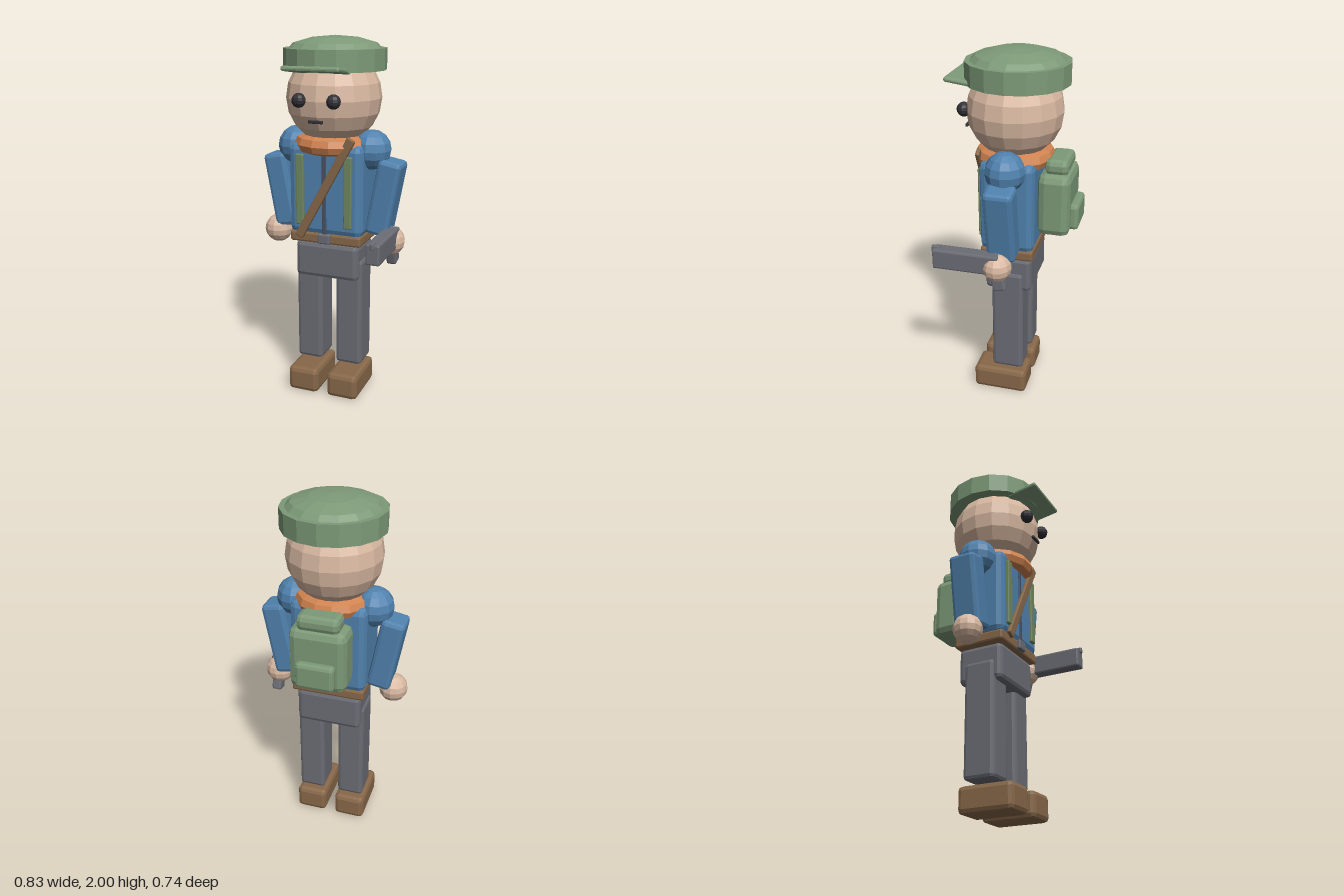
import * as THREE from 'three';
import { RoundedBoxGeometry } from 'three/addons/geometries/RoundedBoxGeometry.js';

function material(name, color) {
  const m = new THREE.MeshStandardMaterial({ color, flatShading: true });
  m.name = name;
  return m;
}

export function createModel() {
  const green = material('canvasGreen', 0x7d9a78);
  const olive = material('strapOlive', 0x718861);
  const blue = material('jacketBlue', 0x5082ae);
  const grey = material('trouserGrey', 0x6b6d75);
  const slate = material('placketSlate', 0x4a5260);
  const skin = material('skin', 0xd8b8a1);
  const orange = material('scarfOrange', 0xd08350);
  const brown = material('leatherBrown', 0x886849);
  const dark = material('eyeBlack', 0x303036);

  const model = new THREE.Group();
  model.name = 'figure';

  function add(name, geometry, mat, x, y, z, rx = 0, rz = 0) {
    const mesh = new THREE.Mesh(geometry, mat);
    mesh.name = name;
    mesh.position.set(x, y, z);
    mesh.rotation.set(rx, 0, rz);
    model.add(mesh);
    return mesh;
  }
  // Box with faceted, bevelled edges
  const box = (w, h, d, r) => new RoundedBoxGeometry(w, h, d, 1, r);
  const ball = (r, a = 12, b = 8) => new THREE.SphereGeometry(r, a, b);

  // Paired parts
  for (const s of [1, -1]) {
    const side = s > 0 ? 'left' : 'right';
    add(side + 'Shoe', box(0.18, 0.142, 0.31, 0.025), brown, s * 0.118, 0.073, 0.045);
    add(side + 'Leg', box(0.152, 0.63, 0.178, 0.02), grey, s * 0.118, 0.485, 0);
    add(side + 'Shoulder', ball(0.108), blue, s * 0.215, 1.41, 0);
    add(side + 'Arm', box(0.13, 0.415, 0.155, 0.022), blue, s * 0.3, 1.157, -0.003, 0, -s * 0.18);
    add(side + 'Hand', ball(0.08), skin, s * 0.335, 0.92, 0.014);
    add(side + 'Eye', ball(0.038, 10, 8), dark, s * 0.095, 1.685, 0.25);
    add(side + 'PackStrap', box(0.045, 0.39, 0.024, 0.006), olive, s * 0.137, 1.195, 0.153);
  }

  // Trunk
  add('hips', box(0.365, 0.205, 0.258, 0.025), grey, 0, 0.79, -0.002);
  add('belt', box(0.41, 0.06, 0.29, 0.012), brown, 0, 0.925, 0);
  add('beltBuckle', box(0.07, 0.056, 0.03, 0.008), grey, 0, 0.928, 0.15);
  add('torso', box(0.42, 0.5, 0.295, 0.035), blue, 0, 1.195, 0);
  add('jacketPlacket', box(0.024, 0.46, 0.016, 0.004), slate, 0, 1.18, 0.147);
  add('shoulderBelt', box(0.048, 0.63, 0.022, 0.006), brown, 0.008, 1.21, 0.161, 0, -0.5);

  // Scarf ring with a solid core
  add('scarf', new THREE.TorusGeometry(0.165, 0.049, 8, 14), orange, 0, 1.437, 0, Math.PI / 2);
  add('neck', new THREE.CylinderGeometry(0.13, 0.13, 0.08, 14), skin, 0, 1.45, 0);

  // Head
  add('head', ball(0.257, 16, 10), skin, 0, 1.68, 0);
  add('mouth', box(0.08, 0.016, 0.014, 0.003), dark, 0, 1.58, 0.258);

  // Cap with flattened dome and peak
  add('capBand', new THREE.CylinderGeometry(0.275, 0.275, 0.112, 16), green, 0, 1.88, -0.014);
  const dome = [[0.248, 0], [0.22, 0.027], [0.125, 0.054], [0, 0.065]]
    .map(([r, y]) => new THREE.Vector2(r, y));
  add('capDome', new THREE.LatheGeometry(dome, 16), green, 0, 1.935, -0.014);
  add('capPeak', box(0.312, 0.026, 0.18, 0.01), green, 0, 1.838, 0.247, -0.13);

  // Backpack
  add('backpack', box(0.31, 0.345, 0.175, 0.04), green, 0, 1.207, -0.238);
  add('backpackRoll', box(0.23, 0.085, 0.125, 0.028), green, 0, 1.41, -0.245);
  add('backpackPocket', box(0.21, 0.145, 0.06, 0.02), green, 0, 1.138, -0.338);

  // Pistol in the left hand
  add('pistolBody', box(0.076, 0.112, 0.36, 0.01), grey, 0.345, 0.943, 0.178);
  add('pistolSight', box(0.022, 0.034, 0.05, 0.006), grey, 0.345, 0.99, 0.345);
  add('pistolGrip', box(0.056, 0.13, 0.072, 0.012), grey, 0.345, 0.855, 0.006, 0.25);

  return model;
}
